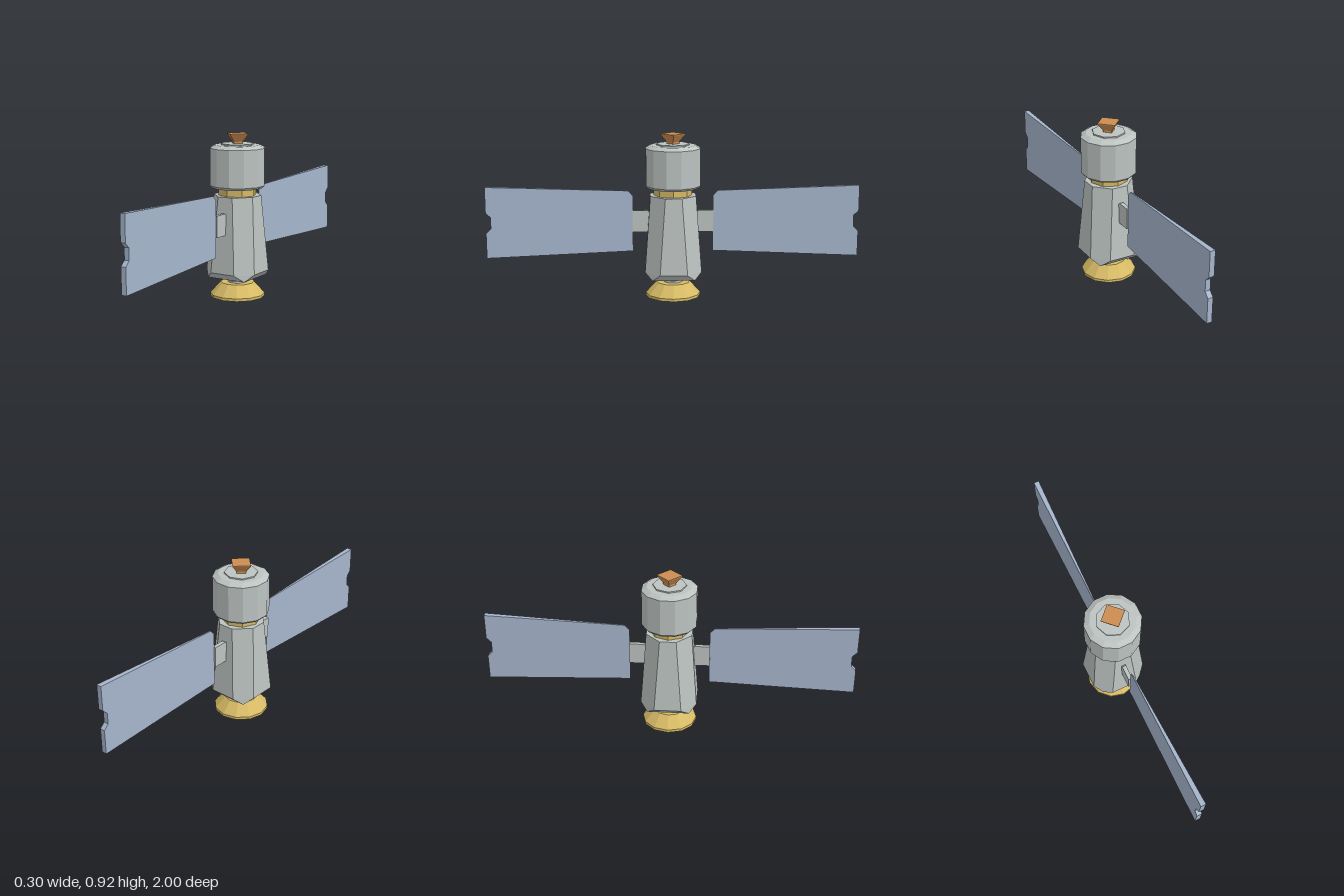
import * as THREE from 'three';

const paint = (name, color) => Object.assign(new THREE.MeshStandardMaterial({ color }), { name });

// Split every face so it shades flat
function faceted(geometry) {
  const g = geometry.index ? geometry.toNonIndexed() : geometry;
  g.computeVertexNormals();
  return g;
}

// Many-sided solid of revolution, profile listed bottom to top as [radius, y]
function turned(profile, sides, turn = 0) {
  const points = profile.map(([r, y]) => new THREE.Vector2(r, y));
  return faceted(new THREE.LatheGeometry(points, sides, turn));
}

// Square ring with cut corners: half = side distance, edge = half length of each side
function cutSquare(half, edge, y) {
  const ring = [];
  for (let k = 0; k < 4; k++) {
    const c = Math.cos(k * Math.PI / 2), s = Math.sin(k * Math.PI / 2);
    for (const e of [-edge, edge]) ring.push([e * c + half * s, y, half * c - e * s]);
  }
  return ring;
}

// Closed skin over rings stacked bottom to top
function loft(rings) {
  const v = [], n = rings[0].length;
  const tri = (...corners) => corners.forEach((p) => v.push(...p));
  const low = rings[0], high = rings[rings.length - 1];
  for (let j = 0; j < n; j++) {
    const k = (j + 1) % n;
    for (let i = 0; i + 1 < rings.length; i++) {
      const a = rings[i], b = rings[i + 1];
      tri(a[j], a[k], b[k]);
      tri(a[j], b[k], b[j]);
    }
    tri([0, low[0][1], 0], low[k], low[j]);
    tri([0, high[0][1], 0], high[j], high[k]);
  }
  const g = new THREE.BufferGeometry();
  g.setAttribute('position', new THREE.Float32BufferAttribute(v, 3));
  return faceted(g);
}

// Plate outlined by [distance, y] on the +z or -z side, x range set by distance
function sidePlate(outline, sign, xMin, xMax) {
  const shape = new THREE.Shape(outline.map(([d, y]) => new THREE.Vector2(-sign * d, y)));
  const g = new THREE.ExtrudeGeometry(shape, { depth: 1, bevelEnabled: false });
  const p = g.attributes.position;
  for (let i = 0; i < p.count; i++) {
    const s = p.getX(i), d = Math.abs(s);
    p.setXYZ(i, THREE.MathUtils.lerp(xMin(d), xMax(d), p.getZ(i)), p.getY(i), -s);
  }
  return faceted(g);
}

export function createModel() {
  const grey = paint('hull grey', 0xbcc3c1);
  const gold = paint('gold foil', 0xd6ba66);
  const blue = paint('panel blue', 0xa6b6cd);
  const copper = paint('nozzle copper', 0xcb8d52);

  const model = new THREE.Group();
  model.name = 'satellite';
  const add = (name, geometry, material) => {
    const mesh = new THREE.Mesh(geometry, material);
    mesh.name = name;
    model.add(mesh);
  };

  // Tapered hull: octagonal top, pointed square base
  add('hull', loft([
    cutSquare(0.114, 0.114, 0.143),
    cutSquare(0.152, 0.073, 0.18),
    cutSquare(0.122, 0.044, 0.59),
  ]), grey);

  // Collar and upper drum
  add('collar', turned([[0, 0.585], [0.103, 0.585], [0.103, 0.635], [0, 0.635]], 8), gold);
  add('drum', turned([
    [0, 0.63], [0.138, 0.63], [0.15, 0.643], [0.15, 0.843], [0.121, 0.859], [0, 0.859],
  ], 12, Math.PI / 12), grey);
  add('drumCap', turned([[0, 0.855], [0.089, 0.855], [0.089, 0.866], [0, 0.866]], 8), grey);

  // Four-sided nozzle on top
  add('nozzle', turned([
    [0, 0.86], [0.034, 0.86], [0.034, 0.876], [0.067, 0.914], [0.067, 0.919], [0, 0.919],
  ], 4), copper);

  // Dish mount, hollow dish and feed spike
  add('dishMount', turned([
    [0, 0.11], [0.052, 0.11], [0.052, 0.122], [0.045, 0.122], [0.045, 0.15], [0, 0.15],
  ], 12), grey);
  add('dish', turned([
    [0, 0.1], [0.084, 0.1], [0.133, 0.047], [0.138, 0.035],
    [0.148, 0.035], [0.148, 0.05], [0.0915, 0.112], [0, 0.112],
  ], 12), gold);
  add('feedSpike', turned([[0, 0], [0.003, 0.001], [0.007, 0.04], [0.008, 0.102]], 6), gold);

  // Solar wings on short brackets, mirrored front and back
  const wing = [
    [0.215, 0.282], [1, 0.253], [1, 0.389], [0.974, 0.415], [0.974, 0.476],
    [1, 0.502], [1, 0.64], [0.24, 0.613], [0.215, 0.585],
  ];
  const bracket = [
    [0.12, 0.405], [0.138, 0.389], [0.217, 0.389], [0.217, 0.506], [0.138, 0.506], [0.12, 0.49],
  ];
  for (const [side, sign] of [['front', 1], ['back', -1]]) {
    add(side + 'Wing', sidePlate(wing, sign,
      () => -0.001, (d) => THREE.MathUtils.mapLinear(d, 0.215, 1, 0.004, 0.028)), blue);
    add(side + 'Bracket', sidePlate(bracket, sign, () => -0.011, () => 0.011), grey);
  }
  return model;
}
